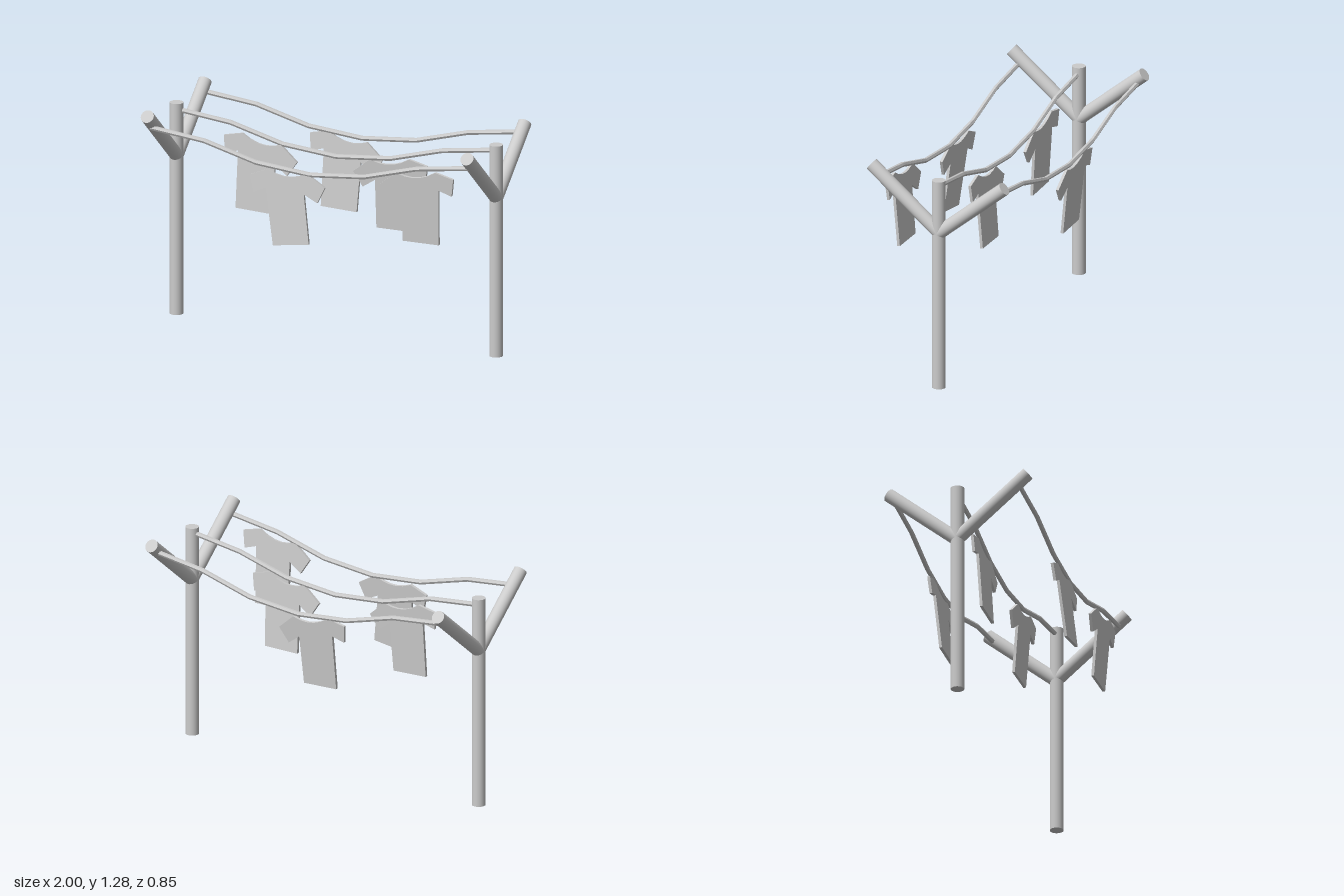
import * as THREE from 'three';

const grey = new THREE.MeshStandardMaterial({ color: 0xcccccc });
const flatGrey = new THREE.MeshStandardMaterial({ color: 0xcccccc, flatShading: true });
const POLE_R = 0.038;
const POLE_X = 0.96;
const MID_Z = -0.004;

// Round bar between two points
function bar(name, from, to) {
  const dir = to.clone().sub(from);
  const mesh = new THREE.Mesh(new THREE.CylinderGeometry(POLE_R, POLE_R, dir.length(), 28), grey);
  mesh.name = name;
  mesh.position.copy(from).addScaledVector(dir, 0.5);
  mesh.quaternion.setFromUnitVectors(new THREE.Vector3(0, 1, 0), dir.normalize());
  return mesh;
}

// Y-shaped end post with two raised arms
function endPost(name, x) {
  const post = new THREE.Group();
  post.name = name;
  const v = (y, z) => new THREE.Vector3(x, y, z);
  post.add(bar('pole', v(0, MID_Z), v(1.22, MID_Z)));
  post.add(bar('frontArm', v(0.915, MID_Z), v(1.255, 0.4)));
  post.add(bar('backArm', v(0.91, MID_Z), v(1.23, -0.398)));
  return post;
}

// Sagging line in six straight segments
function line(name, z) {
  const pts = [[-0.96, 1.18], [-0.65, 1.147], [-0.33, 1.06], [0, 1.028], [0.31, 1.055], [0.62, 1.14], [0.96, 1.188]];
  const curve = new THREE.CatmullRomCurve3(pts.map(([x, y]) => new THREE.Vector3(x, y, z)));
  const mesh = new THREE.Mesh(new THREE.TubeGeometry(curve, 6, 0.014, 6), flatGrey);
  mesh.name = name;
  return mesh;
}

// Shirt outline hanging from the origin: one sleeve out, one drooping
function shirtGeometry() {
  const s = new THREE.Shape();
  s.moveTo(-0.108, 0);
  s.lineTo(0.108, 0);
  s.lineTo(0.118, 0.325);
  s.lineTo(0.195, 0.3);
  s.lineTo(0.208, 0.4);
  s.lineTo(0.1, 0.428);
  s.quadraticCurveTo(-0.02, 0.35, -0.135, 0.4);
  s.lineTo(-0.238, 0.317);
  s.lineTo(-0.183, 0.232);
  s.lineTo(-0.108, 0.282);
  s.closePath();
  const depth = 0.016;
  const geo = new THREE.ExtrudeGeometry(s, { depth, bevelEnabled: false, curveSegments: 5 });
  return geo.translate(0, -0.42, -depth / 2);
}

export function createModel() {
  const model = new THREE.Group();
  model.name = 'clothesLine';

  model.add(endPost('leftPost', POLE_X), endPost('rightPost', -POLE_X));

  const lines = { front: 0.357, middle: -0.006, back: -0.364 };
  for (const [key, z] of Object.entries(lines)) model.add(line(key + 'Line', z));

  // Shirts: line, x, top y, lean, roll, turned round
  const plain = shirtGeometry();
  const turned = plain.clone().rotateY(Math.PI);
  const shirts = [
    ['front', -0.157, 1.036, -0.085, 0.14, true],
    ['front', 0.653, 1.13, 0.075, 0, false],
    ['middle', -0.464, 1.08, -0.07, -0.045, true],
    ['middle', 0.338, 1.06, 0.07, 0, false],
    ['back', -0.103, 1.035, -0.11, -0.04, true],
  ];
  for (const [key, x, y, lean, roll, flip] of shirts) {
    const shirt = new THREE.Mesh(flip ? turned : plain, flatGrey);
    shirt.name = key + 'Shirt';
    shirt.position.set(x, y, lines[key]);
    shirt.rotation.set(lean, 0, roll);
    model.add(shirt);
  }
  return model;
}
